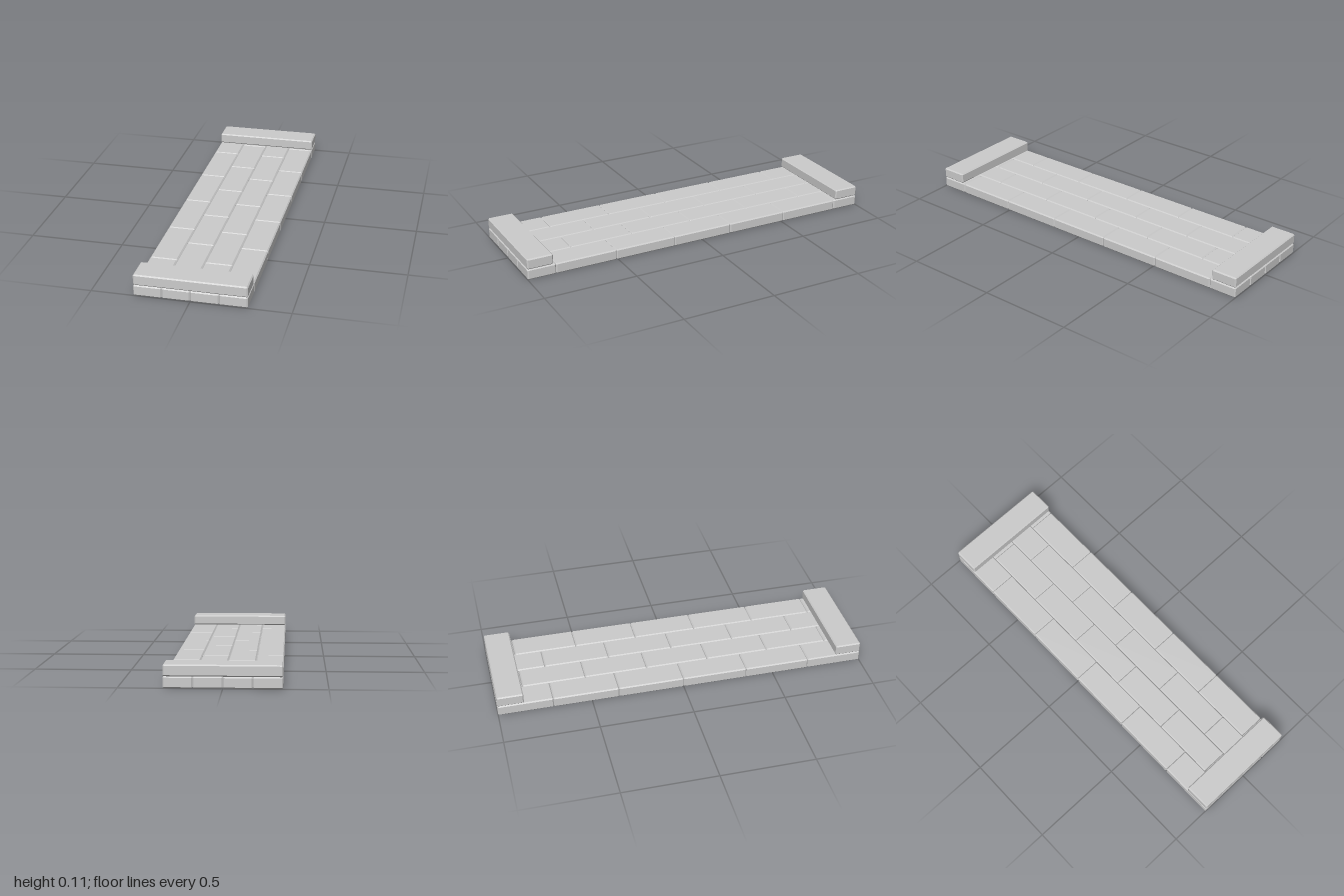
import * as THREE from 'three';
import { ConvexGeometry } from 'three/addons/geometries/ConvexGeometry.js';

const UNIT = 0.1425;   // plank width
const HEIGHT = 0.057;  // height of one layer
const CHAMFER = 0.006;

// Box with every edge and corner cut at 45 degrees
function chamferedBox(w, h, d, c = CHAMFER) {
  const points = [];
  for (const sx of [-1, 1]) for (const sy of [-1, 1]) for (const sz of [-1, 1]) {
    const x = w / 2, y = h / 2, z = d / 2;
    points.push(
      new THREE.Vector3(sx * x, sy * (y - c), sz * (z - c)),
      new THREE.Vector3(sx * (x - c), sy * y, sz * (z - c)),
      new THREE.Vector3(sx * (x - c), sy * (y - c), sz * z),
    );
  }
  return new ConvexGeometry(points);
}

export function createModel() {
  const model = new THREE.Group();
  model.name = 'plankPlatform';
  const material = new THREE.MeshStandardMaterial({ color: 0xcccccc, flatShading: true });

  function addBlock(name, parent, w, d, x, y, z) {
    const mesh = new THREE.Mesh(chamferedBox(w, HEIGHT, d), material);
    mesh.name = name;
    mesh.position.set(x, y, z);
    parent.add(mesh);
  }

  // Two alternating sets of joints give the staggered floor
  const joints = [
    [-1, -0.705, -0.353, 0, 0.35, 0.7, 1],
    [-1, -0.848, -0.509, -0.171, 0.168, 0.508, 0.846, 1],
  ];

  // Floor of four plank rows
  for (let row = 0; row < 4; row++) {
    const plankRow = new THREE.Group();
    plankRow.name = `plankRow${row + 1}`;
    const ends = joints[row % 2];
    for (let i = 0; i < ends.length - 1; i++) {
      addBlock(`plank${i + 1}`, plankRow, UNIT, ends[i + 1] - ends[i],
        (row - 1.5) * UNIT, HEIGHT / 2, (ends[i] + ends[i + 1]) / 2);
    }
    model.add(plankRow);
  }

  // Cross beams on top of both ends
  for (const side of [1, -1]) {
    addBlock(side > 0 ? 'frontBeam' : 'backBeam', model, UNIT * 4, 0.14,
      0, HEIGHT * 1.5, side * 0.93);
  }
  return model;
}
